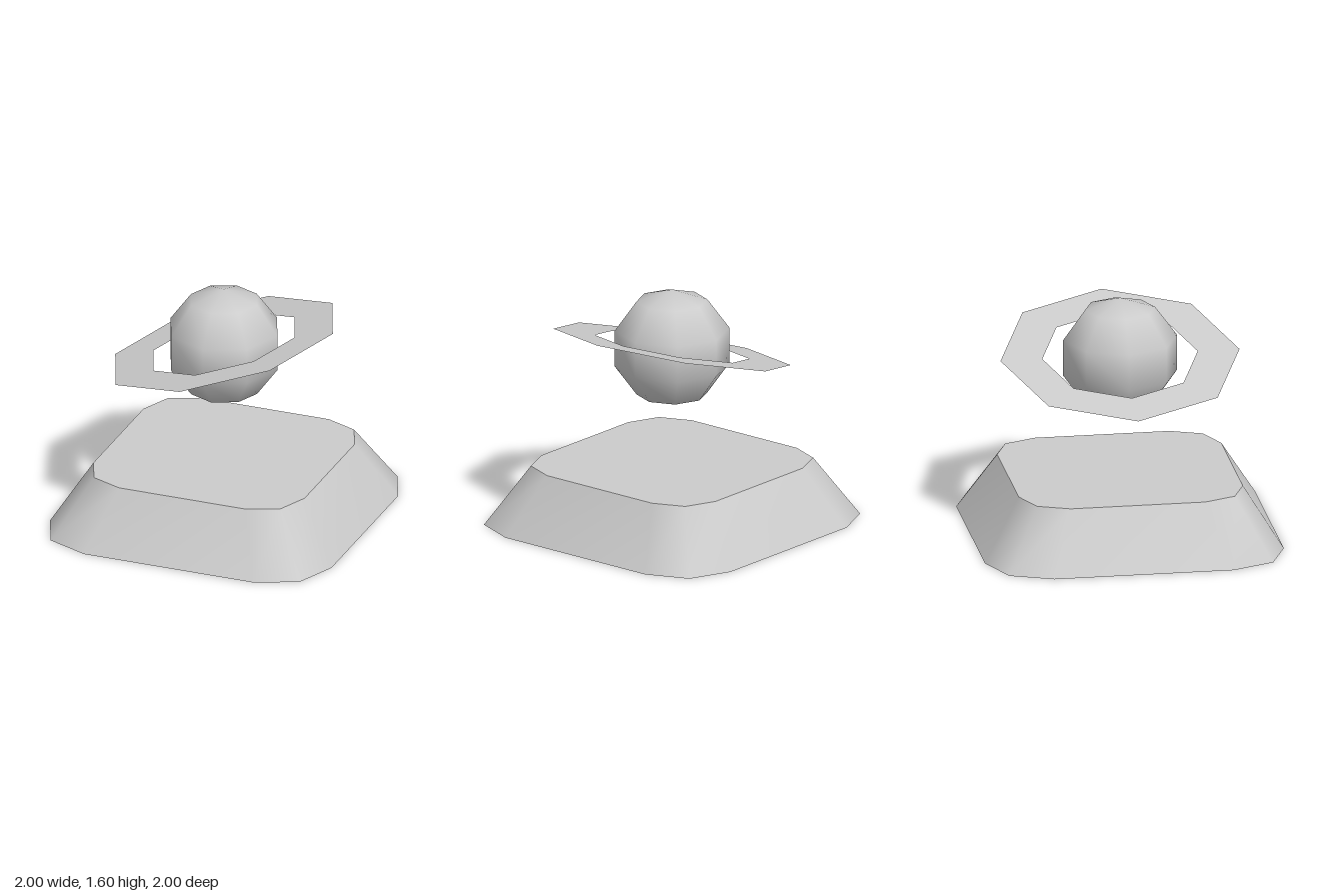
import * as THREE from 'three';

const material = new THREE.MeshStandardMaterial({ color: 0xcccccc });
const ringMaterial = new THREE.MeshStandardMaterial({ color: 0xcccccc, side: THREE.DoubleSide });

// Square outline with rounded corners of two segments each
function roundedSquare(half, radius) {
  const points = [];
  const centre = half - radius;
  for (let corner = 0; corner < 4; corner++) {
    const mid = (corner + 0.5) * Math.PI / 2;
    const cx = centre * Math.SQRT2 * Math.cos(mid);
    const cy = centre * Math.SQRT2 * Math.sin(mid);
    for (let k = 0; k <= 2; k++) {
      const a = (corner + k / 2) * Math.PI / 2;
      points.push(new THREE.Vector2(cx + radius * Math.cos(a), cy + radius * Math.sin(a)));
    }
  }
  return points;
}

// Smooth sloping wall between two matching outlines
function slopedWall(bottom, top, height) {
  const positions = [], index = [];
  const n = bottom.length;
  for (let i = 0; i < n; i++) {
    positions.push(bottom[i].x, 0, bottom[i].y, top[i].x, height, top[i].y);
    const b = 2 * i, c = 2 * ((i + 1) % n);
    index.push(b, b + 1, c, b + 1, c + 1, c);
  }
  const geometry = new THREE.BufferGeometry();
  geometry.setAttribute('position', new THREE.Float32BufferAttribute(positions, 3));
  geometry.setIndex(index);
  geometry.computeVertexNormals();
  return geometry;
}

function addMesh(parent, name, geometry, mat = material) {
  const mesh = new THREE.Mesh(geometry, mat);
  mesh.name = name;
  parent.add(mesh);
  return mesh;
}

export function createModel() {
  const model = new THREE.Group();
  model.name = 'ringedPlanetOnPedestal';

  // Pedestal: tapered rounded square with flat caps
  const pedestal = new THREE.Group();
  pedestal.name = 'pedestal';
  model.add(pedestal);
  const height = 0.4;
  const bottom = roundedSquare(1, 0.4);
  const top = roundedSquare(0.75, 0.3);
  addMesh(pedestal, 'pedestalWall', slopedWall(bottom, top, height));
  const topCap = addMesh(pedestal, 'pedestalTop', new THREE.ShapeGeometry(new THREE.Shape(top)));
  topCap.rotation.x = -Math.PI / 2;
  topCap.position.y = height;
  const bottomCap = addMesh(pedestal, 'pedestalBottom', new THREE.ShapeGeometry(new THREE.Shape(bottom)));
  bottomCap.rotation.x = Math.PI / 2;

  // Floating planet
  const planet = addMesh(model, 'planet', new THREE.SphereGeometry(0.4, 8, 5));
  planet.position.y = 1.2;

  // Flat ring, raised on the model's left
  const ringGeometry = new THREE.RingGeometry(0.52, 0.8, 8).rotateX(-Math.PI / 2);
  const ring = addMesh(model, 'planetRing', ringGeometry, ringMaterial);
  ring.position.y = 1.2;
  ring.rotation.z = THREE.MathUtils.degToRad(15);

  return model;
}
